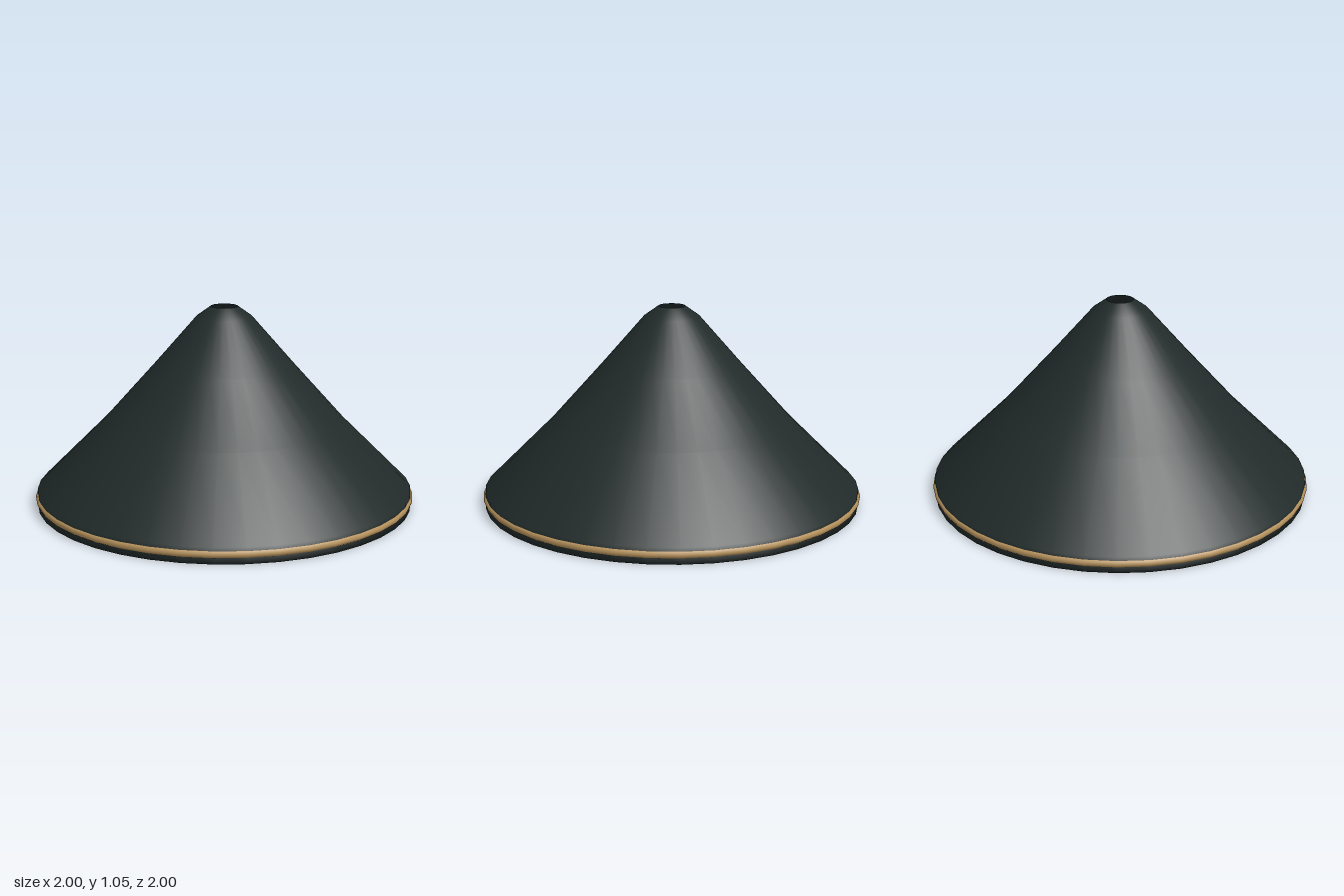
import * as THREE from 'three';

const SIDES = 40;

const shadeGreen = new THREE.MeshStandardMaterial({ color: 0x212b2a });
const brass = new THREE.MeshStandardMaterial({ color: 0xb5915b });
const warmWhite = new THREE.MeshStandardMaterial({ color: 0xece5d6 });
shadeGreen.name = 'dark green enamel';
brass.name = 'brass';
warmWhite.name = 'warm white glass';

function addPart(group, name, geometry, material, y = 0) {
  const mesh = new THREE.Mesh(geometry, material);
  mesh.name = name;
  mesh.position.y = y;
  group.add(mesh);
  return mesh;
}

export function createModel() {
  const lamp = new THREE.Group();
  lamp.name = 'pendantLampshade';

  // Flared shell, thick at the rim and thin at the open top:
  // down the inside, across the flat rim, up the outside
  const inner = [
    [0.07, 1.047], [0.115, 0.985], [0.325, 0.72], [0.575, 0.42], [0.905, 0.07], [0.915, 0],
  ];
  const outer = [
    [0.99, 0], [0.99, 0.085], [0.635, 0.438], [0.365, 0.74], [0.145, 0.993], [0.07, 1.047],
  ];
  const profile = [...inner, ...outer].map(([r, y]) => new THREE.Vector2(r, y));
  addPart(lamp, 'shade', new THREE.LatheGeometry(profile, SIDES), shadeGreen);

  // Brass band around the rim
  const band = new THREE.TorusGeometry(0.98, 0.021, 8, SIDES);
  band.rotateX(Math.PI / 2);
  addPart(lamp, 'rimBand', band, brass, 0.048);

  // Elongated bulb hanging inside
  const bulb = new THREE.SphereGeometry(0.207, 32, 20);
  bulb.scale(1, 1.4, 1);
  addPart(lamp, 'bulb', bulb, warmWhite, 0.522);

  return lamp;
}
